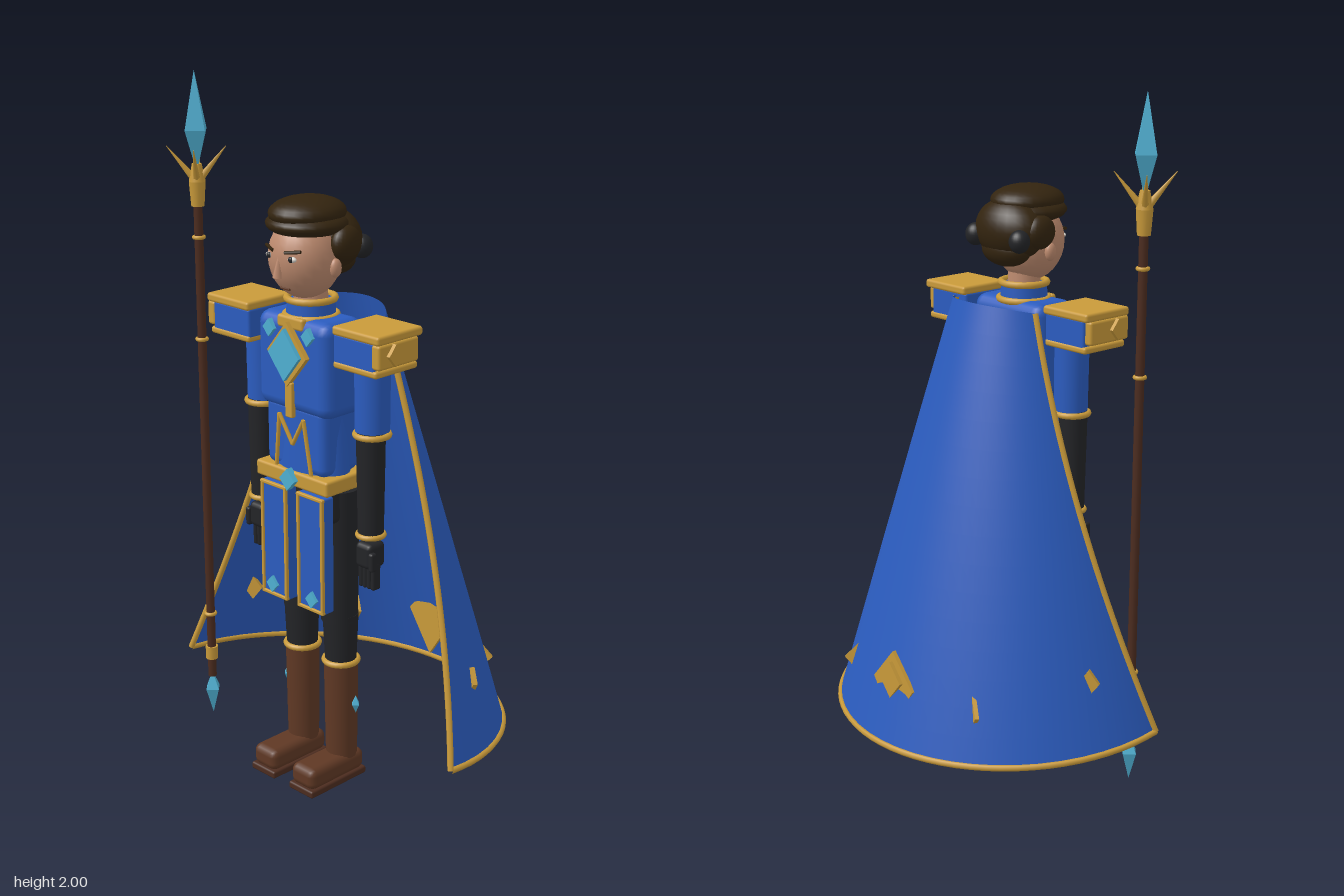
import * as THREE from 'three';
import { RoundedBoxGeometry } from 'three/addons/geometries/RoundedBoxGeometry.js';
import { ParametricGeometry } from 'three/addons/geometries/ParametricGeometry.js';

const material = (name, color, extra = {}) => {
  const m = new THREE.MeshStandardMaterial({ color, ...extra });
  m.name = name;
  return m;
};

export function createModel() {
  const root = new THREE.Group();
  root.name = 'guardWithSpear';
  const blue = material('royalBlue', 0x2b5cbf);
  const capeBlue = blue.clone();
  capeBlue.name = 'capeBlue';
  capeBlue.side = THREE.DoubleSide;
  const gold = material('gold', 0xc99a3a);
  const cyan = material('crystal', 0x4fb0d2);
  const skin = material('skin', 0xbd8a6e);
  const hair = material('hair', 0x33240f);
  const leather = material('leather', 0x5f3824);
  const wood = material('wood', 0x4c2c1f);
  const black = material('blackCloth', 0x232427);
  const white = material('eyeWhite', 0xd8d4cc);

  const V = (x, y, z) => new THREE.Vector3(x, y, z);
  const add = (name, geo, mat, x = 0, y = 0, z = 0, parent = root) => {
    const m = new THREE.Mesh(geo, mat);
    m.name = name;
    m.position.set(x, y, z);
    parent.add(m);
    return m;
  };
  const box = (name, mat, w, h, d, x, y, z, r = 0.008) =>
    add(name, new RoundedBoxGeometry(w, h, d, 2, r), mat, x, y, z);
  const ball = (name, mat, rx, ry, rz, x, y, z) => {
    const m = add(name, new THREE.SphereGeometry(1, 24, 16), mat, x, y, z);
    m.scale.set(rx, ry, rz);
    return m;
  };
  const cyl = (name, mat, rTop, rBottom, y0, y1, x, z, sides = 20) =>
    add(name, new THREE.CylinderGeometry(rTop, rBottom, y1 - y0, sides), mat, x, (y0 + y1) / 2, z);
  const ring = (name, r, tube, x, y, z) => {
    const m = add(name, new THREE.TorusGeometry(r, tube, 8, 24), gold, x, y, z);
    m.rotation.x = Math.PI / 2;
    return m;
  };
  // Round bar between two points, optionally tapered
  const bar = (name, mat, a, b, r0, r1 = r0) => {
    const d = b.clone().sub(a);
    const m = add(name, new THREE.CylinderGeometry(r1, r0, d.length(), 6), mat);
    m.position.copy(a).add(b).multiplyScalar(0.5);
    m.quaternion.setFromUnitVectors(V(0, 1, 0), d.normalize());
    return m;
  };
  // Flat kite, with its widest line at local y = 0
  const kite = (name, mat, halfW, up, down, depth, x, y, z) => {
    const s = new THREE.Shape([[0, up], [-halfW, 0], [0, -down], [halfW, 0]].map(p => new THREE.Vector2(...p)));
    const g = new THREE.ExtrudeGeometry(s, { depth, bevelEnabled: false });
    g.translate(0, 0, -depth / 2);
    return add(name, g, mat, x, y, z);
  };
  // Faceted crystal with four sides
  const crystal = (name, r, up, down, x, y, z, mat = cyan) => {
    const pts = [[0, -down], [r, 0], [0, up]].map(p => new THREE.Vector2(...p));
    const g = new THREE.LatheGeometry(pts, 4).toNonIndexed();
    g.computeVertexNormals();
    return add(name, g, mat, x, y, z);
  };

  // Cape: a widening arc that also wraps further round towards the hem
  const capePoint = (u, v, out) => {
    const k = 2 * u - 1, R = 0.19 + 0.355 * v;
    const a = k * THREE.MathUtils.degToRad(60 + 32 * v);
    const top = 1.4 - 0.02 * k * k, hem = 0.16 + 0.05 * k * k;
    return out.set(R * Math.sin(a), top + (hem - top) * v, 0.187 + 0.013 * v - R * Math.cos(a));
  };
  add('cape', new ParametricGeometry(capePoint, 28, 16), capeBlue);
  const trim = (name, f) => {
    const pts = Array.from({ length: 25 }, (_, i) => f(i / 24));
    add(name, new THREE.TubeGeometry(new THREE.CatmullRomCurve3(pts), 40, 0.009, 6), gold);
  };
  trim('capeHemTrim', t => capePoint(t, 1, V()));
  for (const u of [0, 1]) trim('capeEdgeTrim', t => capePoint(u, t, V()));
  kite('capeEmblem', gold, 0.085, 0.1, 0.13, 0.012, 0, 0.33, -0.293);
  kite('capeEmblemInner', gold, 0.045, 0.055, 0.055, 0.012, 0, 0.345, -0.305);

  // Torso
  box('chest', blue, 0.28, 0.27, 0.155, 0, 1.255, 0.207, 0.035);
  const waist = cyl('waist', blue, 0.115, 0.13, 0.93, 1.16, 0, 0.205, 24);
  waist.scale.z = 0.6;
  box('abdomen', blue, 0.235, 0.2, 0.14, 0, 1.05, 0.205, 0.025);
  box('hips', black, 0.24, 0.13, 0.12, 0, 0.875, 0.19, 0.02);
  box('belt', gold, 0.285, 0.045, 0.165, 0, 0.932, 0.207);
  kite('buckleGem', cyan, 0.03, 0.032, 0.032, 0.02, 0, 0.932, 0.295);
  kite('chestFrame', gold, 0.076, 0.09, 0.09, 0.02, 0, 1.29, 0.29);
  kite('chestGem', cyan, 0.06, 0.073, 0.073, 0.025, 0, 1.29, 0.299);
  box('breastBar', gold, 0.028, 0.1, 0.016, 0, 1.16, 0.287, 0.004);

  // Collar and neck
  cyl('neck', skin, 0.045, 0.05, 1.38, 1.48, 0, 0.205);
  cyl('collar', blue, 0.066, 0.07, 1.37, 1.43, 0, 0.205);
  ring('collarTopTrim', 0.066, 0.01, 0, 1.432, 0.205);
  ring('collarBottomTrim', 0.071, 0.01, 0, 1.385, 0.205);
  box('collarClasp', gold, 0.1, 0.035, 0.02, 0, 1.375, 0.277);

  // Head and hair
  ball('head', skin, 0.1, 0.115, 0.1, 0, 1.55, 0.225);
  bar('nose', skin, V(0, 1.56, 0.318), V(0, 1.505, 0.328), 0.006, 0.013);
  box('mouth', leather, 0.035, 0.006, 0.01, 0, 1.472, 0.297, 0.002);
  ball('hairCrown', hair, 0.098, 0.045, 0.112, 0, 1.667, 0.215);
  ball('hairFringe', hair, 0.112, 0.038, 0.115, 0, 1.64, 0.215);
  ball('hairBack', hair, 0.118, 0.09, 0.085, 0, 1.59, 0.152);
  ball('hairNape', hair, 0.085, 0.05, 0.055, 0, 1.535, 0.135);

  for (const s of [-1, 1]) {
    // Face and side hair
    ball('ear', skin, 0.014, 0.026, 0.018, s * 0.101, 1.53, 0.21);
    ball('sideHair', hair, 0.032, 0.048, 0.05, s * 0.1, 1.59, 0.17);
    ball('hairCurl', black, 0.03, 0.033, 0.03, s * 0.09, 1.57, 0.1);
    ball('eye', white, 0.016, 0.008, 0.008, s * 0.042, 1.56, 0.312);
    ball('pupil', black, 0.008, 0.008, 0.006, s * 0.042, 1.56, 0.317);
    bar('eyebrow', hair, V(s * 0.022, 1.576, 0.32), V(s * 0.066, 1.582, 0.303), 0.005);

    // Tunic ornament
    kite('collarGem', cyan, 0.022, 0.025, 0.025, 0.015, s * 0.075, 1.35, 0.288);
    bar('tunicBraid', gold, V(s * 0.07, 0.95, 0.277), V(s * 0.048, 1.11, 0.284), 0.006);
    bar('tunicBraid', gold, V(s * 0.048, 1.11, 0.284), V(0, 1.03, 0.28), 0.006);

    // Skirt panels with gold frame
    box('skirtPanel', blue, 0.105, 0.345, 0.04, s * 0.073, 0.728, 0.266, 0.006);
    for (const e of [-1, 1]) {
      box('panelSideTrim', gold, 0.01, 0.345, 0.012, s * 0.073 + e * 0.047, 0.728, 0.286, 0.003);
      box('panelEndTrim', gold, 0.105, 0.01, 0.012, s * 0.073, 0.728 + e * 0.167, 0.286, 0.003);
    }
    kite('panelGem', cyan, 0.022, 0.025, 0.025, 0.014, s * 0.08, 0.592, 0.288);

    // Shoulder guard
    box('shoulderTop', gold, 0.172, 0.025, 0.17, s * 0.25, 1.388, 0.205);
    box('shoulderPad', blue, 0.15, 0.085, 0.155, s * 0.24, 1.338, 0.207);
    box('shoulderBase', gold, 0.16, 0.02, 0.16, s * 0.245, 1.295, 0.207);
    box('shoulderEnd', gold, 0.03, 0.068, 0.15, s * 0.322, 1.343, 0.212);
    const stud = kite('shoulderStud', gold, 0.025, 0.03, 0.03, 0.02, s * 0.338, 1.345, 0.235);
    stud.rotation.y = Math.PI / 2;

    // Arm
    cyl('sleeve', blue, 0.05, 0.048, 1.1, 1.31, s * 0.215, 0.187);
    ring('sleeveCuff', 0.046, 0.009, s * 0.217, 1.09, 0.19);
    cyl('forearm', black, 0.041, 0.036, 0.8, 1.1, s * 0.217, 0.195);
    ring('wristBand', 0.036, 0.008, s * 0.217, 0.802, 0.195);
    box('palm', black, 0.06, 0.075, 0.065, s * 0.217, 0.745, 0.197, 0.015);
    for (let i = 0; i < 4; i++)
      box('finger', black, 0.014, 0.08, 0.03, s * 0.217 + (i - 1.5) * 0.0155, 0.685, 0.2, 0.006);
    box('thumb', black, 0.018, 0.055, 0.022, s * 0.25, 0.735, 0.222, 0.007);

    // Leg and boot
    cyl('thigh', black, 0.058, 0.053, 0.5, 0.9, s * 0.078, 0.18);
    cyl('shin', black, 0.052, 0.045, 0.36, 0.52, s * 0.08, 0.178);
    cyl('bootShaft', leather, 0.05, 0.046, 0.07, 0.37, s * 0.08, 0.177);
    ring('bootTrim', 0.048, 0.009, s * 0.08, 0.372, 0.177);
    box('bootFoot', leather, 0.094, 0.065, 0.215, s * 0.08, 0.05, 0.233, 0.022);
    box('bootSole', wood, 0.098, 0.022, 0.22, s * 0.08, 0.011, 0.234, 0.006);
    crystal('bootGem', 0.014, 0.028, 0.028, s * 0.142, 0.25, 0.18);

    // Small cape ornaments
    kite('capeSideOrnament', gold, 0.03, 0.04, 0.04, 0.014, s * 0.455, 0.385, 0.035).rotation.y = -s * 0.52;
    kite('capeHemOrnament', gold, 0.05, 0.055, 0.05, 0.012, s * 0.252, 0.305, -0.215).rotation.y = s * 0.54;
  }

  // Spear
  const sx = -0.442, sz = 0.222;
  cyl('spearShaft', wood, 0.013, 0.013, 0.15, 1.66, sx, sz, 12);
  cyl('spearSocket', gold, 0.024, 0.019, 1.62, 1.69, sx, sz, 12);
  cyl('spearNeck', gold, 0.014, 0.024, 1.69, 1.74, sx, sz, 12);
  cyl('spearFootCollar', gold, 0.019, 0.019, 0.21, 0.25, sx, sz, 12);
  for (const y of [0.36, 1.23, 1.53]) ring('spearBand', 0.014, 0.006, sx, y, sz);
  crystal('spearBlade', 0.04, 0.165, 0.12, sx, 1.835, sz);
  crystal('spearButt', 0.027, 0.055, 0.085, sx, 0.108, sz);
  for (const a of [-1, 1]) for (const b of [-1, 1])
    bar('spearProng', gold, V(sx + a * 0.008, 1.7, sz + b * 0.008), V(sx + a * 0.059, 1.79, sz + b * 0.059), 0.011, 0.001);

  return root;
}
